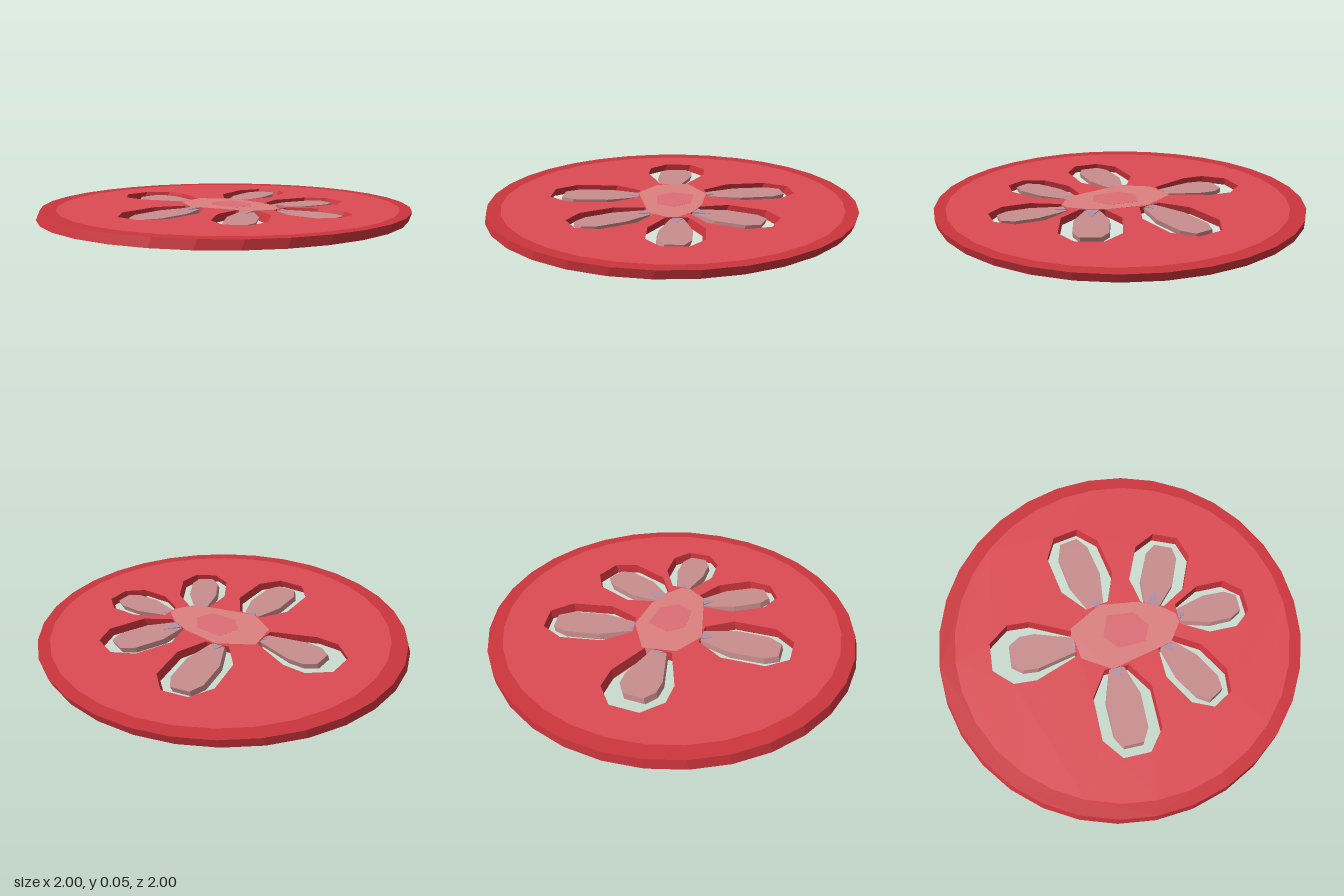
import * as THREE from 'three';
import { ConvexGeometry } from 'three/addons/geometries/ConvexGeometry.js';

const H = 0.045; // slice thickness
const paint = (color) => new THREE.MeshStandardMaterial({ color, flatShading: true });
const skin = paint(0xcc353c), flesh = paint(0xdd4b53), coreMat = paint(0xdd8080);
const heart = paint(0xdd6e76), pulpMat = paint(0xc88d8e), stemMat = paint(0xb091a8);

const circle = (cx, cz, r) => Array.from({ length: 32 }, (_, i) => {
  const a = (i / 32) * Math.PI * 2;
  return [cx + r * Math.cos(a), cz + r * Math.sin(a)];
});

// the whole slice leans slightly: the underside is offset to the back left
function lean(geo) {
  const p = geo.attributes.position;
  for (let i = 0; i < p.count; i++) {
    const k = 1 - p.getY(i) / H;
    p.setX(i, p.getX(i) - 0.015 * k);
    p.setZ(i, p.getZ(i) - 0.01 * k);
  }
  geo.computeVertexNormals();
  return geo;
}

function part(name, geo, material) {
  const mesh = new THREE.Mesh(lean(geo), material);
  mesh.name = name;
  return mesh;
}

// flat slab from an [x, z] outline
function slab(name, pts, holes, y0, y1, material) {
  const flat = (list) => list.map(([x, z]) => new THREE.Vector2(x, -z));
  const shape = new THREE.Shape(flat(pts));
  shape.holes = holes.map((h) => new THREE.Path(flat(h)));
  const geo = new THREE.ExtrudeGeometry(shape, { depth: y1 - y0, bevelEnabled: false });
  geo.rotateX(-Math.PI / 2).translate(0, y0, 0);
  return part(name, geo, material);
}

// each lobe runs from a root on the core to a tip; shoulder is where it gets full width
const lobes = [
  { root: [-0.01, -0.25], tip: [0, -0.71], half: 0.17, shoulder: 0.5, fill: 0.77, stem: 0.02 },
  { root: [0.19, -0.09], tip: [0.67, -0.19], half: 0.155, shoulder: 0.31, fill: 0.9, stem: 0.05 },
  { root: [0.14, 0.215], tip: [0.545, 0.375], half: 0.155, shoulder: 0.29, fill: 0.86, stem: 0.09 },
  { root: [0.055, 0.34], tip: [0.065, 0.73], half: 0.14, shoulder: 0.38, fill: 0.9, stem: 0.05 },
  { root: [-0.095, 0.24], tip: [-0.465, 0.47], half: 0.135, shoulder: 0.33, fill: 0.9, stem: 0.07 },
  { root: [-0.185, -0.05], tip: [-0.67, -0.035], half: 0.16, shoulder: 0.29, fill: 0.87, stem: 0.06 },
];

// point at a distance along the lobe axis and a distance to its side
function along({ root, tip }, distance, side) {
  const dx = tip[0] - root[0], dz = tip[1] - root[1], len = Math.hypot(dx, dz);
  return [root[0] + (dx * distance - dz * side) / len, root[1] + (dz * distance + dx * side) / len];
}

// mirrored outline from [length fraction, width fraction] stations
function lobeOutline(lobe, stations, length, half) {
  const full = Math.hypot(lobe.tip[0] - lobe.root[0], lobe.tip[1] - lobe.root[1]) * length;
  const edge = (s) => stations.map(([t, w]) => along(lobe, t * full, s * w * half));
  return [...edge(1), ...edge(-1).reverse()];
}

const opening = (l) =>
  lobeOutline(l, [[0, 0.42], [l.shoulder, 1], [0.77, 1], [1, 0.46]], 1, l.half);
const pulp = (l) =>
  lobeOutline(l, [[-0.05, 0.36], [l.shoulder + 0.1, 1], [0.83, 0.97], [1, 0.55]], l.fill, l.half * 0.59);

// wedge falling from the core surface to the pulp surface
function stem(l) {
  const corners = [[-0.015, -0.26, 0.001], [-0.015, 0.26, 0.001], [l.stem, 0, 0.007]];
  return new ConvexGeometry(corners.flatMap(([d, s, inset]) => {
    const [x, z] = along(l, d, s * l.half);
    return [inset, H - inset].map((y) => new THREE.Vector3(x, y, z));
  }));
}

const coreOutline = [[-0.1, -0.23], [0.08, -0.26], [0.19, -0.08], [0.17, 0.13], [0.13, 0.24],
  [0.06, 0.33], [0.01, 0.34], [-0.1, 0.27], [-0.19, -0.07], [-0.17, -0.11]];
const heartOutline = [[0, -0.09], [0.12, -0.05], [0.11, 0.1], [0.02, 0.17], [-0.07, 0.13], [-0.08, -0.02]];

export function createModel() {
  const group = new THREE.Group();
  group.name = 'fruitSlice';
  const inner = circle(0.008, 0.017, 0.92);

  // skin ring and flesh with six openings
  group.add(slab('skinRing', circle(0.006, 0.004, 0.993), [inner], 0, H, skin));
  group.add(slab('flesh', inner, lobes.map(opening), 0, H, [flesh, skin]));

  // pale core with a redder heart, each a hair thicker than the flesh
  group.add(slab('core', coreOutline, [], -0.0008, H + 0.0008, coreMat));
  group.add(slab('coreHeart', heartOutline, [], -0.0014, H + 0.0014, heart));

  // pulp lobes joined to the core by sloping stems
  for (const lobe of lobes) {
    group.add(slab('seedPulp', pulp(lobe), [], 0.007, 0.037, pulpMat));
    group.add(part('pulpStem', stem(lobe), stemMat));
  }
  return group;
}
